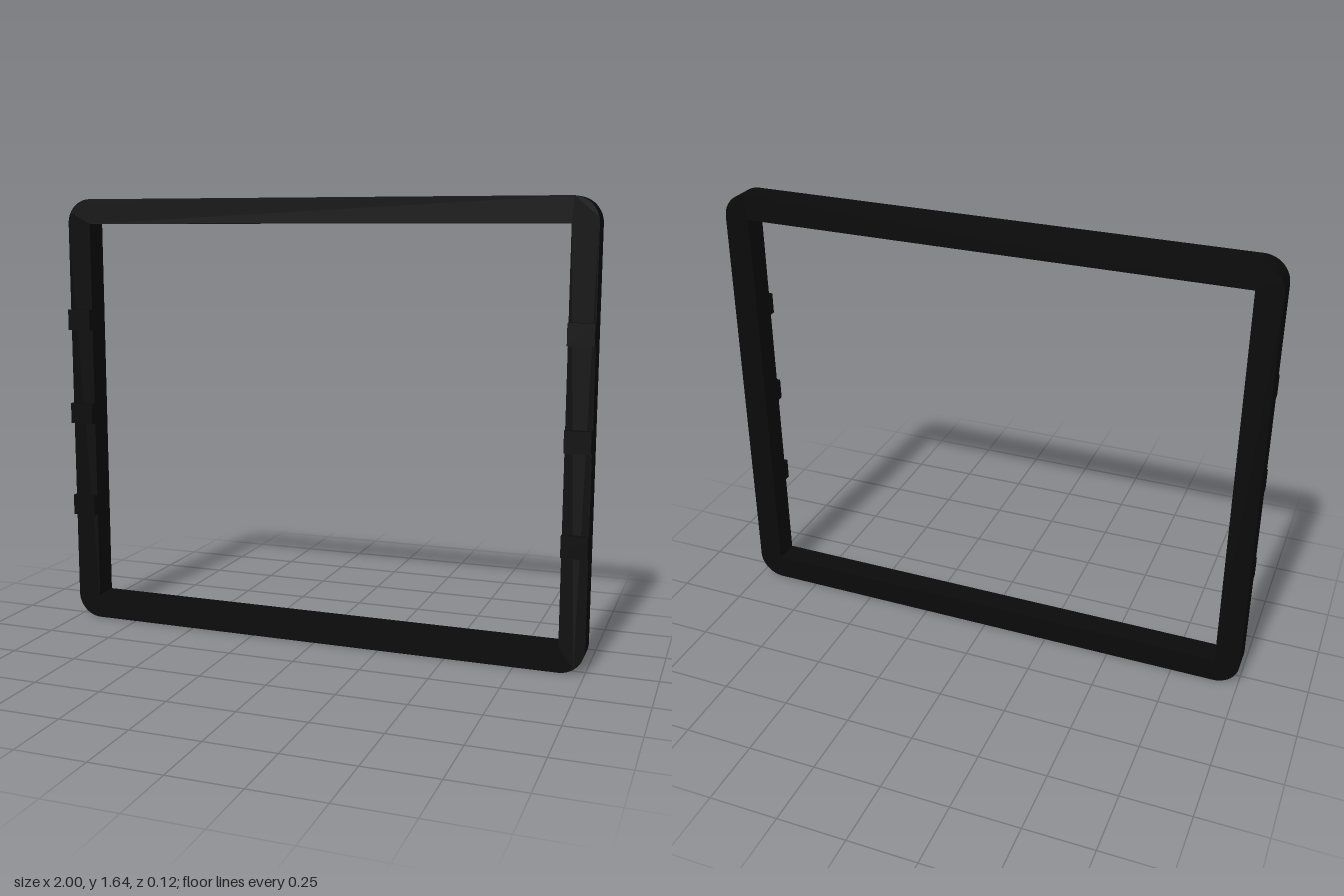
import * as THREE from 'three';

const W = 2, H = 1.64;              // outer size
const BORDER = 0.092;               // bar width, also the corner radius
const BACK = -0.058, FACE = 0.035, TAB_FACE = 0.058;

// Rectangle with rounded outer corners and a square-cornered opening
function frameShape() {
  const x = W / 2, r = BORDER;
  const shape = new THREE.Shape();
  shape.moveTo(-x + r, 0);
  shape.lineTo(x - r, 0);
  shape.absarc(x - r, r, r, -Math.PI / 2, 0);
  shape.absarc(x - r, H - r, r, 0, Math.PI / 2);
  shape.absarc(-x + r, H - r, r, Math.PI / 2, Math.PI);
  shape.absarc(-x + r, r, r, Math.PI, Math.PI * 1.5);
  const hole = new THREE.Path();
  hole.moveTo(-x + r, r);
  hole.lineTo(-x + r, H - r);
  hole.lineTo(x - r, H - r);
  hole.lineTo(x - r, r);
  hole.closePath();
  shape.holes.push(hole);
  return shape;
}

export function createModel() {
  const group = new THREE.Group();
  group.name = 'rectangularFrame';
  const black = new THREE.MeshStandardMaterial({ color: 0x0a0a0a });

  // Frame body
  const body = new THREE.Mesh(
    new THREE.ExtrudeGeometry(frameShape(), {
      depth: FACE - BACK, bevelEnabled: false, curveSegments: 10,
    }),
    black
  );
  body.name = 'frame';
  body.position.z = BACK;
  group.add(body);

  // Three spacer tabs on the front of each upright
  const overlap = 0.01;
  const depth = TAB_FACE - FACE + overlap;
  const tabGeometry = new THREE.BoxGeometry(BORDER, 0.078, depth);
  for (const side of [-1, 1]) {
    for (const step of [-1, 0, 1]) {
      const tab = new THREE.Mesh(tabGeometry, black);
      tab.name = side > 0 ? 'leftTab' : 'rightTab';
      tab.position.set(side * (W - BORDER) / 2, H / 2 + step * 0.363, TAB_FACE - depth / 2);
      group.add(tab);
    }
  }
  return group;
}
